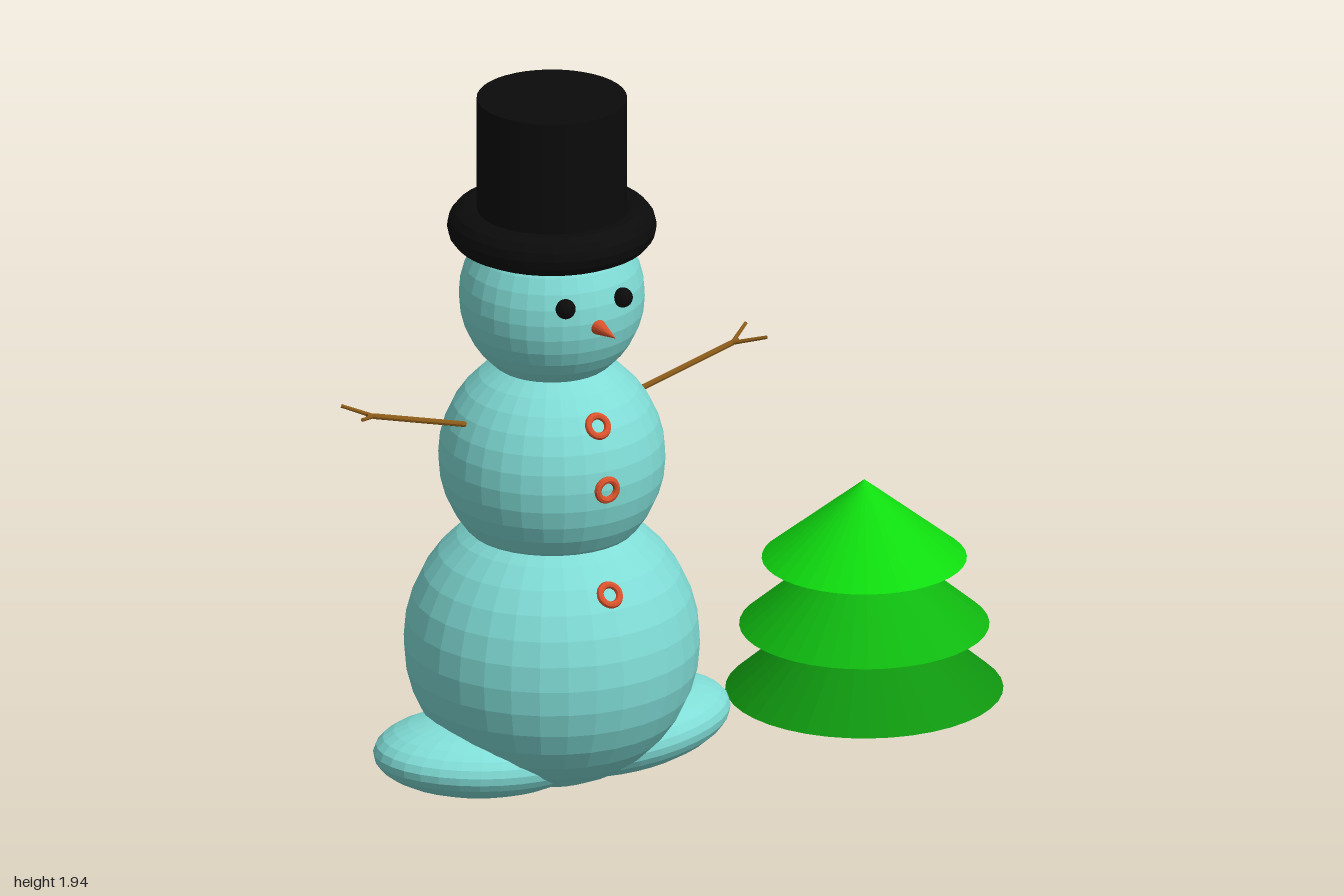
import * as THREE from 'three';

const mat = (name, color, flat = true) => {
  const m = new THREE.MeshStandardMaterial({ color, flatShading: flat });
  m.name = name;
  return m;
};

export function createModel() {
  const snow = mat('paleTealSnow', 0x80dcd6);
  const black = mat('black', 0x0b0b0b);
  const orange = mat('carrotOrange', 0xd9522c);
  const wood = mat('brownWood', 0x8a5a18);
  const greens = [mat('darkGreen', 0x0f960f), mat('midGreen', 0x0fb80f), mat('brightGreen', 0x0fdc0f)];

  const model = new THREE.Group();
  const snowman = new THREE.Group();
  snowman.name = 'snowman';
  snowman.position.x = -0.325;
  model.add(snowman);

  const add = (parent, name, geometry, material, x = 0, y = 0, z = 0) => {
    const mesh = new THREE.Mesh(geometry, material);
    mesh.name = name;
    mesh.position.set(x, y, z);
    parent.add(mesh);
    return mesh;
  };

  // Stacked snowballs
  const base = { y: 0.402, r: 0.395 };
  const torso = { y: 0.93, r: 0.303 };
  const head = { y: 1.39, r: 0.248 };
  const ball = (name, b) => add(snowman, name, new THREE.SphereGeometry(b.r, 32, 18), snow, 0, b.y, 0);
  ball('lowerBody', base);
  ball('torso', torso);
  ball('head', head);

  // Hat: rounded brim and tall crown
  add(snowman, 'hatBrim', new THREE.TorusGeometry(0.223, 0.056, 14, 40), black, 0, 1.586, 0).rotation.x = Math.PI / 2;
  add(snowman, 'hatCrown', new THREE.CylinderGeometry(0.2, 0.2, 0.4, 40), black, 0, 1.75, 0);

  // Carrot nose
  add(snowman, 'nose', new THREE.ConeGeometry(0.024, 0.11, 16), orange, 0.005, 1.377, 0.287).rotation.x = Math.PI / 2;

  // Ring buttons lying on the snowballs
  for (const [y, b] of [[1.097, torso], [0.932, torso], [0.637, base]]) {
    const dy = y - b.y;
    const z = Math.sqrt(b.r * b.r - dy * dy);
    add(snowman, 'button', new THREE.TorusGeometry(0.028, 0.01, 8, 20), orange, 0, y, z).rotation.x = -Math.asin(dy / b.r);
  }

  // Thin tapered stick between two points
  const stick = (name, a, b, r0, r1) => {
    const from = new THREE.Vector3(...a);
    const dir = new THREE.Vector3(...b).sub(from);
    const mesh = add(snowman, name, new THREE.CylinderGeometry(r1, r0, dir.length(), 8), wood);
    mesh.position.copy(from).addScaledVector(dir, 0.5);
    mesh.quaternion.setFromUnitVectors(new THREE.Vector3(0, 1, 0), dir.clone().normalize());
  };

  // Eyes, feet and forked arms on both sides
  for (const s of [1, -1]) {
    add(snowman, 'eye', new THREE.SphereGeometry(0.027, 14, 10), black, s * 0.087, 1.441, 0.232);

    const foot = add(snowman, 'foot', new THREE.SphereGeometry(1, 32, 16), snow, s * 0.21, 0.122, 0);
    foot.scale.set(0.312, 0.108, 0.22);
    foot.rotation.z = s * 0.09;

    const z = 0.006;
    const fork = [s * 0.545, 1.145, z];
    stick('arm', [s * 0.2, 1.05, z], fork, 0.008, 0.008);
    stick('twig', fork, [s * 0.615, 1.17, z + 0.065], 0.006, 0.005);
    stick('twig', fork, [s * 0.615, 1.17, z - 0.052], 0.006, 0.005);
    stick('armTip', fork, [s * 0.565, 1.15, z], 0.007, 0.005);
  }

  // Tree of three overlapping cones
  const tree = new THREE.Group();
  tree.name = 'tree';
  tree.position.x = 0.625;
  model.add(tree);
  [[0.08, 0.407, 0.37], [0.263, 0.55, 0.333], [0.453, 0.675, 0.273]].forEach(([bottom, top, r], i) => {
    add(tree, 'treeTier', new THREE.ConeGeometry(r, top - bottom, 40), greens[i], 0, (bottom + top) / 2, 0);
  });

  return model;
}
